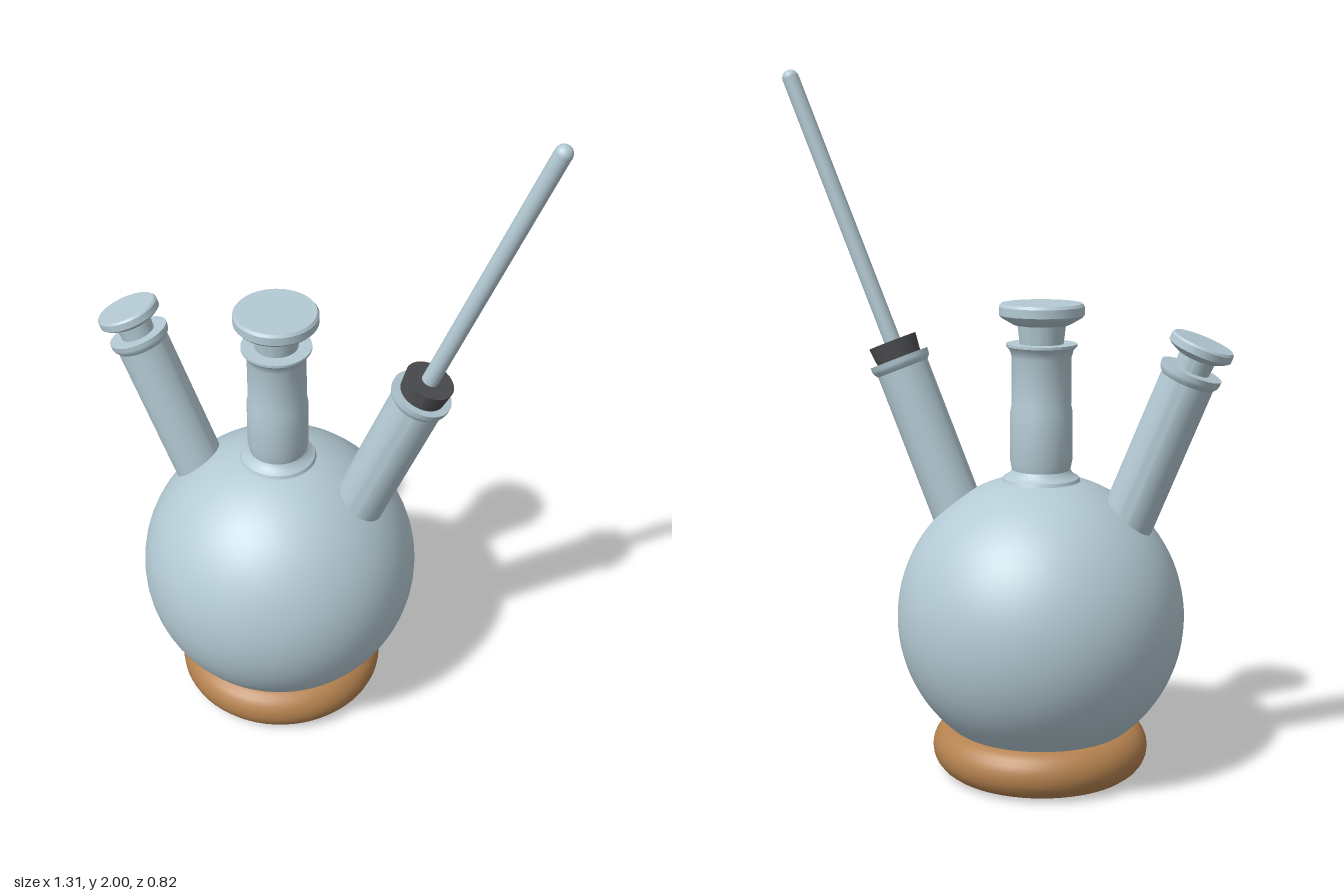
import * as THREE from 'three';
import { toCreasedNormals } from 'three/addons/utils/BufferGeometryUtils.js';

const CX = -0.115; // axis of the bulb
const TILT = THREE.MathUtils.degToRad(22);

export function createModel() {
  const mat = (name, color) => {
    const m = new THREE.MeshStandardMaterial({ color });
    m.name = name;
    return m;
  };
  const glass = mat('pale glass', 0xb4cad4);
  const cork = mat('cork', 0xb5824f);
  const rubber = mat('dark rubber', 0x4c4d50);

  const model = new THREE.Group();
  model.name = 'threeNeckFlask';

  const add = (parent, name, geometry, material) => {
    const mesh = new THREE.Mesh(geometry, material);
    mesh.name = name;
    parent.add(mesh);
    return mesh;
  };
  // Turned part from [radius, height] pairs, listed bottom to top
  const turned = (profile) => toCreasedNormals(
    new THREE.LatheGeometry(profile.map(([r, y]) => new THREE.Vector2(r, y)), 48), 0.6);

  // Cork ring stand
  const ring = add(model, 'corkRing', new THREE.TorusGeometry(0.24, 0.071, 24, 64), cork);
  ring.rotation.x = Math.PI / 2;
  ring.position.set(CX, 0.072, 0);

  // Round bulb
  add(model, 'bulb', new THREE.SphereGeometry(0.411, 64, 48), glass).position.set(CX, 0.457, 0);

  // Central neck with a filleted foot and flared lip
  const centre = new THREE.Group();
  centre.name = 'centreNeckAssembly';
  centre.position.x = CX;
  model.add(centre);
  add(centre, 'centreNeck', turned([
    [0.12, 0.83], [0.108, 0.862], [0.09, 0.872], [0.083, 0.885], [0.088, 0.91],
    [0.088, 1.05], [0.084, 1.07], [0.084, 1.205], [0.09, 1.225],
    [0.1, 1.236], [0.1, 1.243], [0, 1.243],
  ]), glass);
  add(centre, 'centreStopper', turned([
    [0.06, 1.23], [0.068, 1.295], [0.08, 1.297], [0.113, 1.316], [0.12, 1.324],
    [0.12, 1.348], [0.114, 1.356], [0, 1.356],
  ]), glass);

  // Two tilted side necks, mirrored about the bulb; local origin at the lip
  for (const [side, label] of [[1, 'left'], [-1, 'right']]) {
    const neck = new THREE.Group();
    neck.name = label + 'NeckAssembly';
    neck.position.set(CX + side * 0.425, 1.182, 0);
    neck.rotation.z = -side * TILT;
    model.add(neck);
    add(neck, label + 'Neck', turned([
      [0, -0.6], [0.076, -0.6], [0.076, -0.028], [0.084, -0.018],
      [0.087, -0.008], [0.087, 0.004], [0, 0.004],
    ]), glass);

    if (side > 0) {
      // Rubber bung holding a round-tipped rod
      add(neck, 'rubberBung', turned([
        [0.064, -0.01], [0.071, 0.056], [0, 0.056],
      ]), rubber);
      const rod = add(neck, 'thermometerRod', new THREE.CapsuleGeometry(0.024, 0.848, 12, 24), glass);
      rod.position.y = 0.434;
    } else {
      // Small glass stopper
      add(neck, 'sideStopper', turned([
        [0.048, -0.005], [0.052, 0.042], [0.06, 0.044], [0.083, 0.056],
        [0.09, 0.062], [0.09, 0.082], [0.085, 0.088], [0, 0.088],
      ]), glass);
    }
  }
  return model;
}
